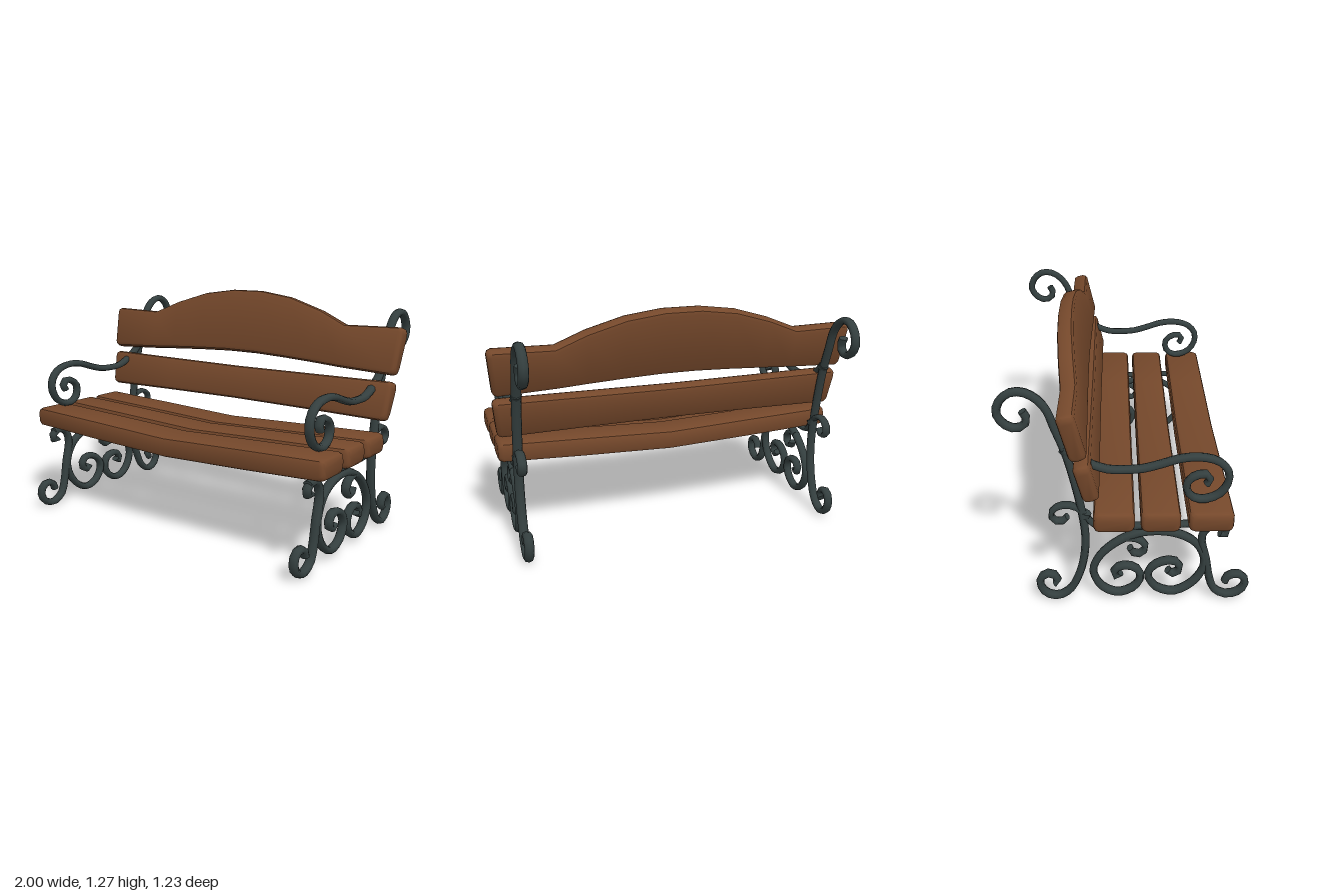
import * as THREE from 'three';
import { mergeGeometries, toCreasedNormals } from 'three/addons/utils/BufferGeometryUtils.js';

const wood = new THREE.MeshStandardMaterial({ color: 0x75482b });
wood.name = 'brown wood';
const iron = new THREE.MeshStandardMaterial({ color: 0x343f3f });
iron.name = 'dark iron';

// Wrought-iron bar swept along (z, y) points, wider across x than in its plane
function bar(name, points, radius = 0.02, width = 0.026) {
  const curve = new THREE.CatmullRomCurve3(points.map(([z, y]) => new THREE.Vector3(0, y, z)), false, 'centripetal');
  const segments = Math.round(curve.getLength() / 0.034);
  const parts = [new THREE.TubeGeometry(curve, segments, radius, 8)];
  for (const end of [0, 1]) {
    const at = curve.getPointAt(end);
    const out = curve.getTangentAt(end).multiplyScalar(end ? 1 : -1);
    const cap = new THREE.CircleGeometry(radius, 8);
    cap.applyQuaternion(new THREE.Quaternion().setFromUnitVectors(new THREE.Vector3(0, 0, 1), out));
    parts.push(cap.translate(at.x, at.y, at.z));
  }
  const mesh = new THREE.Mesh(mergeGeometries(parts).scale(width / radius, 1, 1), iron);
  mesh.name = name;
  return mesh;
}

// Band clamped round a joint
function collar(name, z, y, tilt) {
  const mesh = new THREE.Mesh(new THREE.CylinderGeometry(0.029, 0.029, 0.026, 8), iron);
  mesh.name = name;
  mesh.position.set(0, y, z);
  mesh.rotation.x = tilt;
  return mesh;
}

// Rounded plank lofted along x; stations are [x, bottom, top], slant shortens the lower edge
function plank(name, stations, depth, slant = 0) {
  const bevel = 0.024;
  const first = stations[0], last = stations[stations.length - 1];
  const rings = [
    [...first, 0.018], [first[0] + 0.008, first[1], first[2], 0.006], [first[0] + 0.026, first[1], first[2], 0],
    ...stations.slice(1, -1).map((s) => [...s, 0]),
    [last[0] - 0.026, last[1], last[2], 0], [last[0] - 0.008, last[1], last[2], 0.006], [...last, 0.018],
  ];
  const n = 12, positions = [], index = [];
  rings.forEach(([x, bottom, top, inset], i) => {
    const h = (top - bottom) / 2 - inset, d = depth / 2 - inset, mid = (top + bottom) / 2;
    for (let j = 0; j < n; j++) {
      const corner = Math.floor(j / 3);
      const a = corner * Math.PI / 2 + (j % 3) * Math.PI / 4;
      const sz = corner === 0 || corner === 3 ? 1 : -1, sy = corner < 2 ? 1 : -1;
      const y = sy * (h - bevel) + Math.sin(a) * bevel;
      positions.push(x * (1 - slant * (0.5 - y / (2 * h))), mid + y, sz * (d - bevel) + Math.cos(a) * bevel);
      if (i < rings.length - 1) {
        const p = i * n + j, q = i * n + (j + 1) % n;
        index.push(p, p + n, q, q, p + n, q + n);
      }
    }
  });
  const e = (rings.length - 1) * n;
  for (let j = 1; j < n - 1; j++) index.push(0, j, j + 1, e, e + j + 1, e + j);
  const geometry = new THREE.BufferGeometry();
  geometry.setAttribute('position', new THREE.Float32BufferAttribute(positions, 3));
  geometry.setIndex(index);
  const mesh = new THREE.Mesh(toCreasedNormals(geometry, 0.75), wood);
  mesh.name = name;
  return mesh;
}

function sideFrame() {
  const frame = new THREE.Group();
  frame.add(
    // Rear post, scrolled at head and foot
    bar('rearPost', [
      [-0.475, 1.09], [-0.457, 1.05], [-0.475, 1.015], [-0.52, 1.005], [-0.565, 1.03], [-0.592, 1.08], [-0.575, 1.14],
      [-0.53, 1.18], [-0.48, 1.187], [-0.42, 1.16], [-0.37, 1.1], [-0.335, 1.0], [-0.29, 0.87], [-0.25, 0.7],
      [-0.22, 0.53], [-0.208, 0.4], [-0.217, 0.27], [-0.245, 0.16], [-0.29, 0.07], [-0.355, 0.028], [-0.415, 0.047],
      [-0.443, 0.105], [-0.43, 0.152], [-0.393, 0.17], [-0.358, 0.148], [-0.355, 0.115], [-0.37, 0.107],
    ]),
    // Front leg with its foot scroll and the small curl under the seat
    bar('frontLeg', [
      [0.49, 0.107], [0.505, 0.142], [0.542, 0.157], [0.58, 0.142], [0.595, 0.1], [0.57, 0.05], [0.505, 0.027],
      [0.44, 0.06], [0.412, 0.13], [0.39, 0.25], [0.363, 0.38], [0.385, 0.44], [0.43, 0.463], [0.475, 0.45],
      [0.488, 0.42], [0.465, 0.4], [0.45, 0.41],
    ]),
    // Seat rail rising into a curl behind the post
    bar('seatRail', [
      [0.48, 0.462], [0.3, 0.466], [0.1, 0.458], [-0.08, 0.458], [-0.163, 0.468], [-0.207, 0.527], [-0.245, 0.567],
      [-0.3, 0.583], [-0.35, 0.565], [-0.372, 0.53], [-0.355, 0.495], [-0.315, 0.49], [-0.292, 0.515],
    ], 0.015, 0.025),
    // Large double scroll between the legs
    bar('doubleScroll', [
      [0.2, 0.185], [0.215, 0.165], [0.245, 0.17], [0.26, 0.2], [0.243, 0.235], [0.2, 0.245], [0.13, 0.215],
      [0.1, 0.16], [0.13, 0.09], [0.18, 0.058], [0.24, 0.052], [0.32, 0.1], [0.372, 0.18], [0.38, 0.26],
      [0.329, 0.358], [0.24, 0.41], [0.14, 0.426], [0.03, 0.408], [-0.078, 0.344], [-0.15, 0.26], [-0.173, 0.18],
      [-0.13, 0.085], [-0.05, 0.046], [0.03, 0.08], [0.064, 0.14], [0.045, 0.195], [-0.005, 0.216],
      [-0.055, 0.203], [-0.071, 0.17], [-0.055, 0.147], [-0.038, 0.17],
    ]),
    // Small curl hanging inside the double scroll
    bar('innerCurl', [
      [-0.03, 0.385], [0.03, 0.385], [0.075, 0.36], [0.088, 0.325], [0.06, 0.29], [0.02, 0.3], [0.01, 0.325],
    ], 0.017),
    // Armrest
    bar('armrest', [
      [0.372, 0.695], [0.388, 0.72], [0.37, 0.75], [0.33, 0.747], [0.285, 0.715], [0.282, 0.655], [0.32, 0.617],
      [0.37, 0.612], [0.435, 0.64], [0.475, 0.707], [0.47, 0.77], [0.42, 0.822], [0.329, 0.844], [0.24, 0.835],
      [0.15, 0.806], [0.07, 0.784], [-0.01, 0.778], [-0.09, 0.781], [-0.16, 0.805], [-0.237, 0.85], [-0.298, 0.904],
    ], 0.019),
    collar('seatCollar', -0.207, 0.527, 0.35),
    collar('armCollar', -0.29, 0.885, -0.7),
  );
  return frame;
}

export function createModel() {
  const bench = new THREE.Group();
  bench.name = 'gardenBench';

  for (const side of [1, -1]) {
    const frame = sideFrame();
    frame.name = side > 0 ? 'leftFrame' : 'rightFrame';
    frame.position.x = side * 0.865;
    bench.add(frame);
  }

  // Seat planks, sagging slightly toward the middle: [name, centre z, depth]
  for (const [name, z, depth] of [['frontSeatPlank', 0.395, 0.215], ['middleSeatPlank', 0.155, 0.19], ['rearSeatPlank', -0.067, 0.197]]) {
    const seat = plank(name, [[-0.97, 0.485, 0.592], [-0.5, 0.465, 0.576], [0, 0.447, 0.556], [0.5, 0.465, 0.576], [0.957, 0.485, 0.592]], depth);
    seat.position.z = z;
    bench.add(seat);
  }

  // Back planks lean with the posts; heights are measured from each lower edge
  const lower = plank('lowerBackPlank', [[-0.97, 0, 0.208], [-0.5, 0.006, 0.204], [0, 0.01, 0.2], [0.5, 0.006, 0.204], [0.978, 0, 0.208]], 0.083, 0.018);
  lower.position.set(0, 0.648, -0.17);
  lower.rotation.x = -0.24;

  const crest = plank('crestPlank', [
    [-1, 0, 0.25], [-0.67, 0.014, 0.244], [-0.5, 0.025, 0.315], [-0.3, 0.036, 0.377], [-0.1, 0.044, 0.405],
    [0.1, 0.044, 0.405], [0.3, 0.036, 0.377], [0.5, 0.025, 0.315], [0.66, 0.014, 0.244], [0.997, 0, 0.25],
  ], 0.085, 0.02);
  crest.position.set(0, 0.884, -0.224);
  crest.rotation.x = -0.24;
  bench.add(lower, crest);
  return bench;
}
